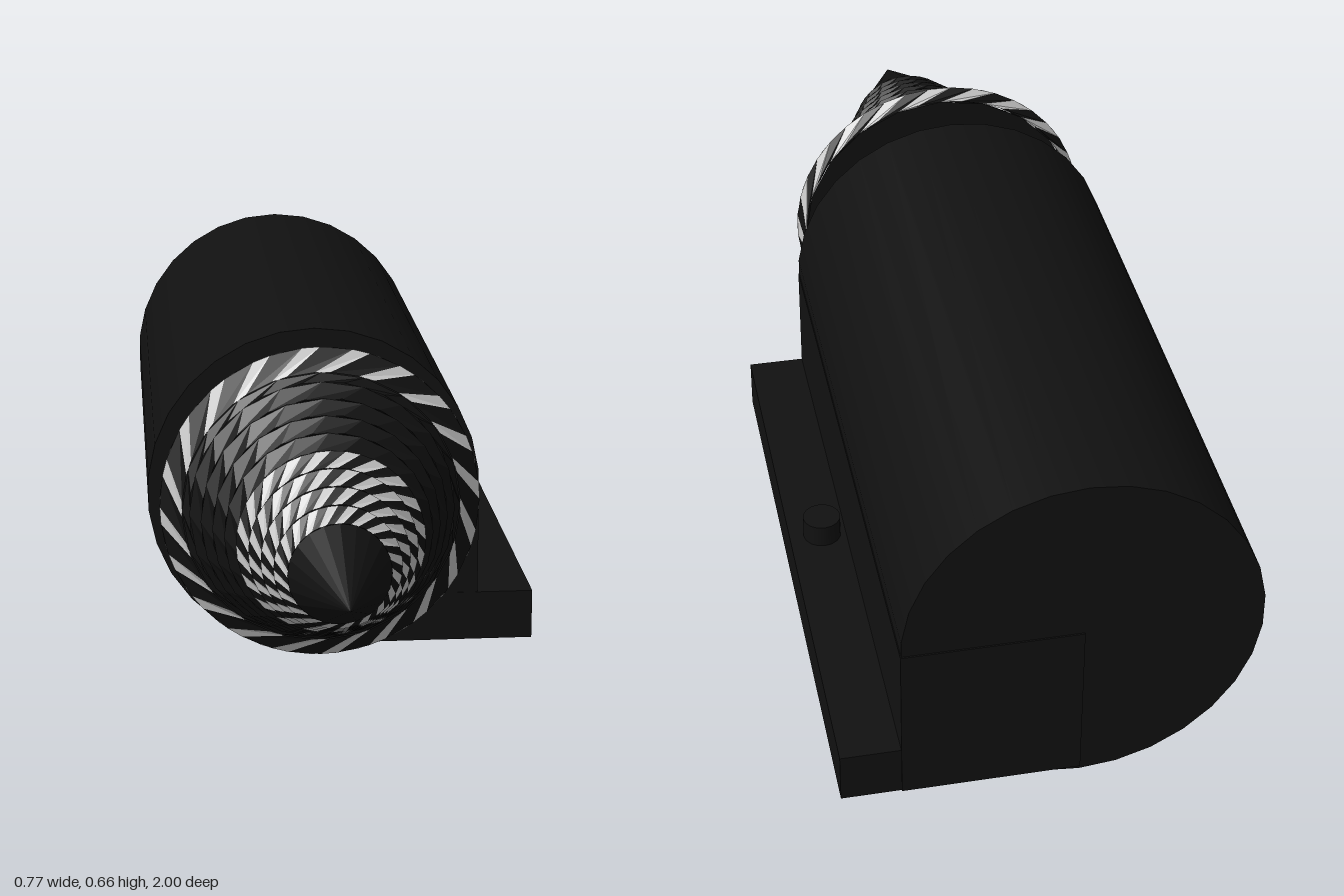
import * as THREE from 'three';

const AXIS_X = -0.057, AXIS_Y = 0.353, SIDES = 20;

const dark = new THREE.MeshStandardMaterial({ color: 0x111111, flatShading: true, side: THREE.DoubleSide });
const darkSmooth = new THREE.MeshStandardMaterial({ color: 0x111111 });
const silver = new THREE.MeshStandardMaterial({ color: 0xcccccc, flatShading: true, side: THREE.DoubleSide });

function add(parent, name, geometry, material, x = 0, y = 0, z = 0) {
  const mesh = new THREE.Mesh(geometry, material);
  mesh.name = name;
  mesh.position.set(x, y, z);
  parent.add(mesh);
  return mesh;
}

// Skewed strips between two rings; from/to choose the share of each step that is filled
function skewedBand([z0, r0], [z1, r1], from, to, skew) {
  const step = (Math.PI * 2) / SIDES, points = [];
  const at = (turn, r, z) => [Math.cos(turn * step) * r, Math.sin(turn * step) * r, z];
  for (let i = 0; i < SIDES; i++) {
    const a = at(i + from, r0, z0), b = at(i + to, r0, z0);
    const c = at(i + to + skew, r1, z1), d = at(i + from + skew, r1, z1);
    points.push(...a, ...b, ...c, ...a, ...c, ...d);
  }
  const geometry = new THREE.BufferGeometry();
  geometry.setAttribute('position', new THREE.Float32BufferAttribute(points, 3));
  geometry.computeVertexNormals();
  return geometry;
}

// A cylinder lying along z
function rod(radius, z0, z1, sides) {
  return new THREE.CylinderGeometry(radius, radius, z1 - z0, sides)
    .rotateX(Math.PI / 2).translate(0, 0, (z0 + z1) / 2);
}

export function createModel() {
  const model = new THREE.Group();

  // Motor housing with its square corner and side flange
  const housing = new THREE.Group();
  housing.name = 'housing';
  model.add(housing);
  add(housing, 'barrel', rod(0.331, -0.997, 0.215, 30), darkSmooth, AXIS_X, 0.333);
  add(housing, 'cornerBlock', new THREE.BoxGeometry(0.332, 0.325, 1.214), darkSmooth, 0.108, 0.1725, -0.393);
  add(housing, 'flange', new THREE.BoxGeometry(0.386, 0.1, 1.212), darkSmooth, 0.193, 0.06, -0.391);
  add(housing, 'button', new THREE.CylinderGeometry(0.037, 0.037, 0.06, 16), darkSmooth, 0.321, 0.125, -0.375);

  add(model, 'shaft', rod(0.098, 0.2, 0.35, 24), darkSmooth, AXIS_X, AXIS_Y);

  // Drill head: base ring, threaded taper and plain tip
  const drill = new THREE.Group();
  drill.name = 'drillHead';
  drill.position.set(AXIS_X, AXIS_Y, 0);
  model.add(drill);

  const rings = [[0.335, 0.295], [0.367, 0.31], [0.398, 0.268]];
  for (let i = 0; i < 8; i++) {
    const z = 0.42 + i * 0.049, r = 0.095 + (0.79 - z) * 0.405;
    rings.push([z, r + 0.01], [z + 0.03, r - 0.014]);
  }
  rings.push([0.8, 0.094]);

  for (let i = 0; i < rings.length - 1; i++) {
    const z = rings[i][0];
    const striped = z < 0.38 || (z > 0.61 && z < 0.77 && i % 2 === 1);
    const share = striped ? (i === 1 ? 0.35 : 0.5) : 0;
    const skew = striped ? 0.8 : 0.5;
    add(drill, 'thread', skewedBand(rings[i], rings[i + 1], share, 1, skew), dark);
    if (striped) add(drill, 'threadEdge', skewedBand(rings[i], rings[i + 1], 0, share, skew), silver);
  }

  add(drill, 'baseDisc', new THREE.CircleGeometry(0.295, SIDES), dark, 0, 0, 0.335);
  add(drill, 'tip', new THREE.ConeGeometry(0.094, 0.2, SIDES, 1, true).rotateX(Math.PI / 2), dark, 0, 0, 0.9);

  return model;
}
